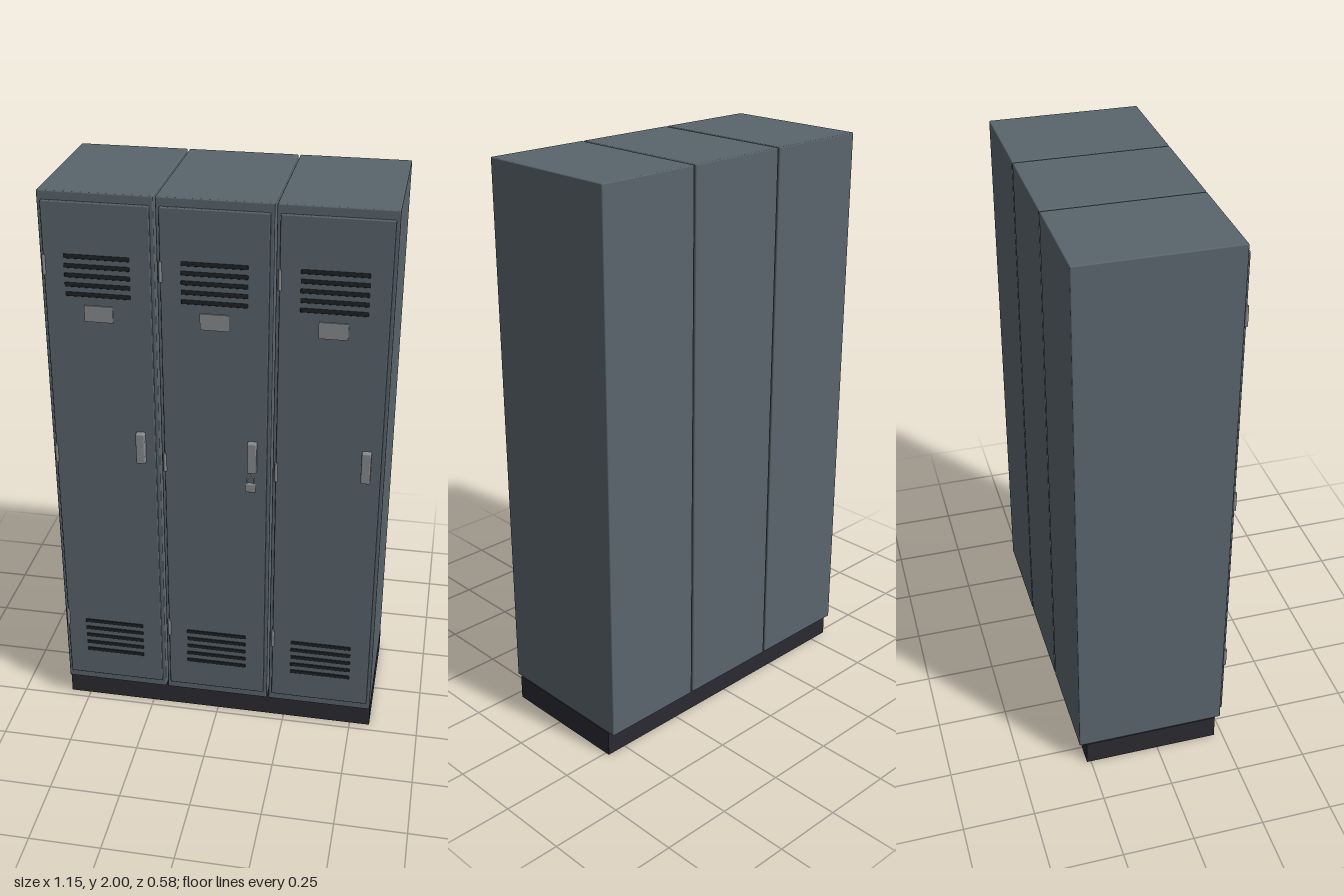
import * as THREE from 'three';
import { RoundedBoxGeometry } from 'three/addons/geometries/RoundedBoxGeometry.js';

function material(name, color) {
  const m = new THREE.MeshStandardMaterial({ color });
  m.name = name;
  return m;
}

export function createModel() {
  const paint = material('slate paint', 0x59656c);
  const plinthPaint = material('dark plinth', 0x2a2a31);
  const dark = material('slot black', 0x1e2124);
  const metal = material('grey metal', 0x888b8e);

  const root = new THREE.Group();
  root.name = 'lockerRow';

  function add(parent, name, geometry, mat, x, y, z) {
    const mesh = new THREE.Mesh(geometry, mat);
    mesh.name = name;
    mesh.position.set(x, y, z);
    parent.add(mesh);
    return mesh;
  }
  const box = (w, h, d) => new THREE.BoxGeometry(w, h, d);
  const rounded = (w, h, d, r) => new RoundedBoxGeometry(w, h, d, 2, r);

  // Shared plinth under all lockers
  add(root, 'plinth', box(1.146, 0.09, 0.485), plinthPaint, 0, 0.045, -0.0225);

  // Geometry shared by the three lockers
  const bodyGeo = rounded(0.376, 1.911, 0.531, 0.004);
  const doorGeo = rounded(0.352, 1.85, 0.024, 0.004);
  const slotGeo = rounded(0.217, 0.015, 0.008, 0.003);
  const plateGeo = box(0.095, 0.056, 0.006);
  const hingeGeo = new THREE.CylinderGeometry(0.006, 0.006, 0.069, 12);
  const handleGeo = rounded(0.032, 0.115, 0.024, 0.005);

  for (let i = 0; i < 3; i++) {
    const locker = new THREE.Group();
    locker.name = 'locker';
    locker.position.x = (i - 1) * 0.383;
    root.add(locker);

    add(locker, 'cabinet', bodyGeo, paint, 0, 1.0445, -0.0245);
    add(locker, 'door', doorGeo, paint, 0, 1.045, 0.239);

    // Upper and lower vent slots
    for (const top of [1.79, 0.363])
      for (let s = 0; s < 5; s++)
        add(locker, 'ventSlot', slotGeo, dark, 0, top - s * 0.0322, 0.25);

    add(locker, 'namePlate', plateGeo, metal, 0, 1.597, 0.252);
    for (const y of [1.757, 1.066, 0.374])
      add(locker, 'hinge', hingeGeo, metal, -0.175, y, 0.25);
    add(locker, 'handle', handleGeo, metal, 0.127, 1.118, 0.259);
  }

  // Padlock hanging from the middle handle
  const padlock = new THREE.Group();
  padlock.name = 'padlock';
  padlock.position.set(0.127, 1.033, 0.284);
  root.add(padlock);
  add(padlock, 'padlockBody', rounded(0.038, 0.033, 0.014, 0.004), metal, 0, -0.0165, 0);
  const points = [[-0.011, -0.003], [-0.011, 0.016], [0, 0.029], [0.011, 0.016], [0.011, -0.003]]
    .map(([x, y]) => new THREE.Vector3(x, y, 0));
  const shackle = add(padlock, 'shackle',
    new THREE.TubeGeometry(new THREE.CatmullRomCurve3(points), 20, 0.003, 8), metal, 0, 0, 0);
  shackle.rotation.x = -0.42;

  return root;
}
